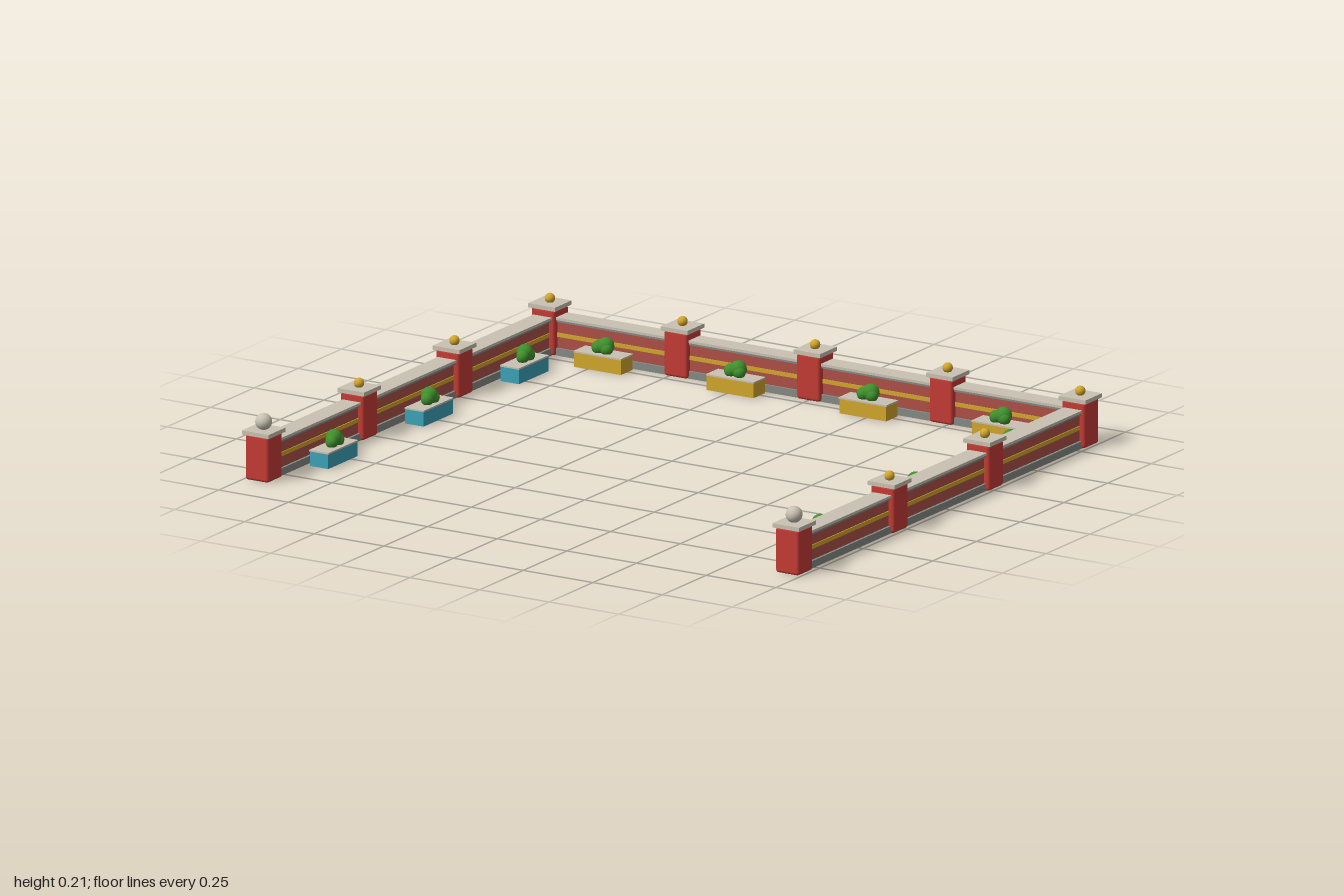
import * as THREE from 'three';
import { RoundedBoxGeometry } from 'three/addons/geometries/RoundedBoxGeometry.js';

const mat = (name, color) => {
  const m = new THREE.MeshStandardMaterial({ color });
  m.name = name;
  return m;
};

export function createModel() {
  const stone = mat('pale stone', 0xc9c2b3);
  const slate = mat('grey plinth stone', 0x858a84);
  const brick = mat('brick', 0xae5046);
  const red = mat('red post paint', 0xc43a34);
  const gold = mat('gold', 0xd2a62c);
  const teal = mat('teal', 0x3ba3b8);
  const leaf = mat('leaf green', 0x3f8f2c);

  const model = new THREE.Group();
  model.name = 'courtyardWall';

  const add = (parent, name, geo, material, x, y, z) => {
    const mesh = new THREE.Mesh(geo, material);
    mesh.name = name;
    mesh.position.set(x, y, z);
    parent.add(mesh);
    return mesh;
  };
  // Box given by its bottom and top heights
  const slab = (parent, name, w, y0, y1, d, material, x = 0, z = 0) =>
    add(parent, name, new THREE.BoxGeometry(w, y1 - y0, d), material, x, (y0 + y1) / 2, z);

  const X = 0.952, Z = 0.819, POST = 0.084;

  // Post with overhanging cap and a ball finial
  const postGeo = new RoundedBoxGeometry(POST, 0.145, POST, 2, 0.009);
  const smallBall = new THREE.SphereGeometry(0.016, 16, 12);
  const bigBall = new THREE.SphereGeometry(0.026, 20, 14);
  const addPost = (x, z, gate) => {
    const g = new THREE.Group();
    g.name = gate ? 'gatePost' : 'post';
    g.position.set(x, 0, z);
    add(g, 'shaft', postGeo, red, 0, 0.0725, 0);
    slab(g, 'cap', 0.096, 0.143, 0.156, 0.096, stone);
    if (gate) add(g, 'stoneBall', bigBall, stone, 0, 0.18, 0);
    else add(g, 'goldBall', smallBall, gold, 0, 0.168, 0);
    model.add(g);
  };

  // Wall bay running along its local x, with plinth, coping and gold bands
  const addBay = (x, z, length, turn) => {
    const g = new THREE.Group();
    g.name = 'wallBay';
    g.position.set(x, 0, z);
    g.rotation.y = turn;
    const l = length - POST + 0.01;
    slab(g, 'plinth', l, 0, 0.023, 0.062, slate);
    slab(g, 'brickwork', l, 0.023, 0.106, 0.046, brick);
    slab(g, 'copingBed', l, 0.106, 0.113, 0.06, slate);
    slab(g, 'coping', l, 0.113, 0.121, 0.066, stone);
    for (const s of [-1, 1]) slab(g, 'goldBand', l, 0.058, 0.071, 0.004, gold, 0, s * 0.024);
    model.add(g);
  };

  // Planter box with a stone top and a clump of foliage
  const bushGeo = new THREE.SphereGeometry(1, 16, 12);
  const addPlanter = (x, z, turn, paint) => {
    const g = new THREE.Group();
    g.name = 'planter';
    g.position.set(x, 0, z);
    g.rotation.y = turn;
    slab(g, 'box', 0.168, 0, 0.046, 0.066, paint);
    slab(g, 'top', 0.171, 0.046, 0.051, 0.069, stone);
    for (const [bx, by, bz, r] of [[0.007, 0.072, -0.003, 0.027], [-0.016, 0.066, 0.004, 0.021], [0.016, 0.065, 0.006, 0.02]]) {
      add(g, 'foliage', bushGeo, leaf, bx, by, bz).scale.set(r, r, r * 0.95);
    }
    model.add(g);
  };

  // Back run: four bays, five posts
  const stepX = X / 2;
  for (let i = 0; i < 5; i++) addPost(-X + i * stepX, -Z, false);
  for (let i = 0; i < 4; i++) {
    const x = -X + (i + 0.5) * stepX;
    addBay(x, -Z, stepX, 0);
    addPlanter(x, -0.745, 0, gold);
  }

  // Mirrored side runs: three bays each, ending in the gate posts
  const stepZ = (2 * Z) / 3;
  for (const s of [-1, 1]) {
    for (let i = 0; i < 3; i++) {
      const z = -Z + (i + 0.5) * stepZ;
      addPost(s * X, -Z + (i + 1) * stepZ, i === 2);
      addBay(s * X, z, stepZ, Math.PI / 2);
      addPlanter(s * 0.872, z, Math.PI / 2, teal);
    }
  }
  return model;
}
